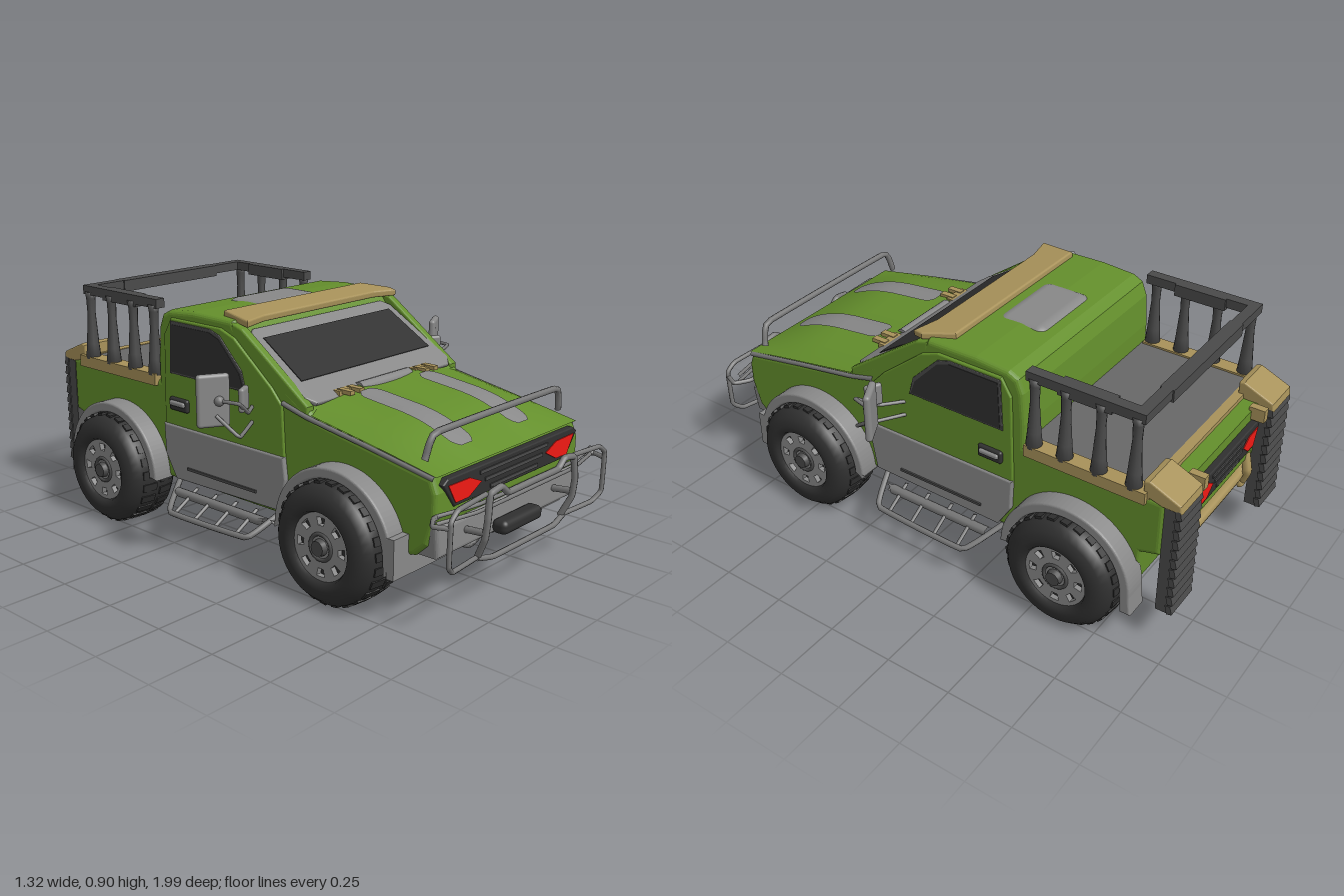
import * as THREE from 'three';
import { RoundedBoxGeometry } from 'three/addons/geometries/RoundedBoxGeometry.js';

const paint = (color, side = THREE.FrontSide) => new THREE.MeshStandardMaterial({ color, side });
const GREEN = paint(0x648f2c), GREY = paint(0x888888), STEEL = paint(0x777777), DARK = paint(0x4a4a4a);
const BLACK = paint(0x303030), TAN = paint(0xa8925a), RED = paint(0xf01a14), FLOOR = paint(0x686868);
const V = (p) => new THREE.Vector3(...p);
const V2 = (p) => new THREE.Vector2(...p);
const poly = (pts) => new THREE.Shape(pts.map(V2));

export function createModel() {
  const root = new THREE.Group();
  const add = (name, geo, mat, pos = [0, 0, 0], rot = [0, 0, 0], parent = root) => {
    const m = new THREE.Mesh(geo, mat);
    m.name = name;
    m.position.set(...pos);
    m.rotation.set(...rot);
    parent.add(m);
    return m;
  };
  const box = (name, size, mat, pos, rot, parent) => add(name, new THREE.BoxGeometry(...size), mat, pos, rot, parent);
  const round = (name, size, r, mat, pos, rot) => add(name, new RoundedBoxGeometry(...size, 4, r), mat, pos, rot);
  const tube = (name, pts, r, mat = STEEL) => {
    const curve = new THREE.CatmullRomCurve3(pts.map(V), false, 'catmullrom', 0.12);
    return add(name, new THREE.TubeGeometry(curve, pts.length * 8, r, 8), mat);
  };
  const extrude = (shape, depth, bevel = 0) => new THREE.ExtrudeGeometry(shape, {
    depth: depth - 2 * bevel, bevelEnabled: bevel > 0, bevelSize: bevel, bevelThickness: bevel,
    bevelOffset: -bevel, bevelSegments: 4, curveSegments: 24,
  }).translate(0, 0, bevel);
  // Extrudes a (z, y) outline across x from xa to xb
  const side = (name, shape, xa, xb, mat, bevel = 0) =>
    add(name, extrude(shape, Math.abs(xb - xa), bevel).rotateY(-Math.PI / 2).translate(Math.max(xa, xb), 0, 0), mat);

  // Body with wheel arches
  const hull = poly([[-0.845, 0.22], [-0.86, 0.36], [-0.93, 0.38], [-0.93, 0.595], [-0.4, 0.595], [-0.4, 0.68],
    [-0.39, 0.8], [-0.37, 0.85], [-0.33, 0.87], [-0.2, 0.88], [0, 0.877], [0.04, 0.82], [0.36, 0.62], [0.38, 0.6],
    [0.88, 0.51], [0.9, 0.46], [0.9, 0.38], [0.87, 0.28], [0.82, 0.235], [0.756, 0.22]]);
  hull.absarc(0.53, 0.22, 0.226, 0, Math.PI, false);
  hull.lineTo(-0.384, 0.22);
  hull.absarc(-0.61, 0.22, 0.226, 0, Math.PI, false);
  side('body', hull, -0.42, 0.42, GREEN, 0.018);

  // Crowned hood and its raised, round-ended stripes share one height rule
  const hoodY = (x, z) => {
    const t = Math.min(1, (0.895 - z) / 0.26), a = Math.abs(x);
    const crown = (1 - (a / 0.42) ** 4) * 0.78 + 0.22 * Math.exp(-(((a - 0.165) / 0.07) ** 2));
    return 0.602 - (z - 0.38) * 0.173 + 0.066 * Math.sin(t * Math.PI / 2) * crown * (1 - 0.25 * Math.max(0, (0.6 - z) / 0.24));
  };
  const hoodPatch = (name, cx, half, z0, z1, lift, color, rounded) => {
    const g = new THREE.PlaneGeometry(2 * half, z1 - z0, 24, 28).rotateX(-Math.PI / 2).translate(0, 0, (z0 + z1) / 2);
    const p = g.attributes.position;
    for (let i = 0; i < p.count; i++) {
      const z = p.getZ(i), e = Math.min(1, (Math.min(z - z0, z1 - z) + 0.008) / 0.05);
      const x = cx + p.getX(i) * (rounded ? Math.sqrt(1 - (1 - e) ** 2) : 1);
      p.setXYZ(i, x, hoodY(x, z) + lift, z);
    }
    g.computeVertexNormals();
    add(name, g, paint(color, THREE.DoubleSide));
  };
  hoodPatch('hood', 0, 0.412, 0.345, 0.893, 0, 0x648f2c, false);
  for (const s of [-1, 1]) hoodPatch('hoodStripe', s * 0.165, 0.053, 0.4, 0.83, 0.005, 0x888888, true);

  // Windshield: frame and glass on the sloping front of the cab
  const screen = new THREE.Group();
  screen.name = 'windshield';
  screen.position.set(0, 0.734, 0.178);
  screen.rotation.x = -1.012;
  root.add(screen);
  add('windshieldFrame', extrude(poly([[-0.37, -0.205], [0.37, -0.205], [0.4, -0.17], [0.38, 0.15], [0.35, 0.18],
    [-0.35, 0.18], [-0.38, 0.15], [-0.4, -0.17]]), 0.018, 0.006), GREY, undefined, undefined, screen);
  add('windshieldGlass', extrude(poly([[-0.355, -0.1], [0.355, -0.1], [0.345, 0.125], [-0.345, 0.125]]), 0.008), BLACK, [0, 0, 0.013], undefined, screen);
  add('visor', extrude(poly([[-0.41, -0.07], [-0.3, -0.045], [0.3, -0.045], [0.4, -0.07], [0.41, -0.03], [0.36, 0.08], [-0.38, 0.08]]), 0.026, 0.007)
    .rotateX(-Math.PI / 2), TAN, [0, 0.866, 0], [0.1, 0, 0]);
  round('roofPanel', [0.35, 0.1, 0.22], 0.05, GREY, [0, 0.836, -0.2]);
  add('wiperRoller', new THREE.CylinderGeometry(0.025, 0.025, 0.28, 16), GREY, [0, 0.64, 0.345], [0, 0, Math.PI / 2]);

  // Grille panel with lamps, used front and back
  const lampPanel = (name, pos, turn, sx) => {
    const g = new THREE.Group();
    g.name = name;
    g.position.set(...pos);
    g.rotation.y = turn;
    g.scale.x = sx;
    root.add(g);
    add('panel', extrude(poly([[-0.33, -0.05], [0.33, -0.05], [0.395, 0.035], [0.37, 0.052], [-0.37, 0.052], [-0.395, 0.035]]), 0.03, 0.006), BLACK, undefined, undefined, g);
    for (const s of [-1, 1]) add('lamp', extrude(poly([[0.19, 0], [0.255, 0.028], [0.37, 0.03], [0.33, -0.036], [0.26, -0.036]].map(([x, y]) => [s * x, y])), 0.008), RED, [0, 0, 0.025], undefined, g);
    for (const y of [-0.03, 0, 0.03]) box('grilleBar', [0.34 + y * 2, 0.012, 0.01], DARK, [0, y, 0.029], undefined, g);
  };
  lampPanel('grille', [0, 0.45, 0.878], 0, 1);
  lampPanel('tailPanel', [0, 0.5, -0.925], Math.PI, 0.62);

  // Front bumper and bars
  add('frontBumper', extrude(poly([[-0.405, 0.24], [0.405, 0.24], [0.418, 0.35], [-0.418, 0.35]]), 0.1, 0.015), GREY, [0, 0, 0.805]);
  round('winch', [0.23, 0.05, 0.06], 0.02, BLACK, [0, 0.27, 0.93]);
  tube('hoodBar', [[-0.39, 0.55, 0.83], [-0.35, 0.635, 0.84], [0.35, 0.635, 0.84], [0.39, 0.55, 0.83]], 0.012);
  for (const y of [0.385, 0.41]) tube('crossBar', [[-0.46, y, 0.93], [-0.28, y, 0.965], [0.28, y, 0.965], [0.46, y, 0.93]], 0.007);
  tube('lowerBar', [[-0.26, 0.215, 0.95], [-0.18, 0.2, 0.96], [0.18, 0.2, 0.96], [0.26, 0.215, 0.95]], 0.01);

  // Bed cover, rail and tail
  box('bedCover', [0.78, 0.02, 0.46], FLOOR, [0, 0.6, -0.63]);
  box('rearRail', [0.84, 0.035, 0.04], DARK, [0, 0.882, -0.82]);
  box('rearRailPad', [0.5, 0.045, 0.05], DARK, [0, 0.877, -0.82]);
  box('tailTrim', [0.84, 0.025, 0.035], TAN, [0, 0.6, -0.855]);
  tube('towBar', [[-0.3, 0.34, -0.89], [-0.2, 0.31, -0.91], [0.2, 0.31, -0.91], [0.3, 0.34, -0.89]], 0.024, TAN);

  // Underside
  add('gearCase', extrude(poly([[-0.135, 0.23], [-0.135, 0.1], [-0.07, 0.08], [0, 0.073], [0.07, 0.08], [0.135, 0.1], [0.135, 0.23]]), 0.31), BLACK, [0, 0, -0.12]);
  const pipe = [[0.05, -0.69], [0.055, -0.72], [0.08, -0.72], [0.08, -0.62], [0.045, -0.57], [0.045, 0.6], [0.08, 0.66], [0.08, 0.75], [0.066, 0.75], [0.064, 0.72]];
  add('drivePipe', new THREE.LatheGeometry(pipe.map(V2), 24), STEEL, [0, 0.195, 0], [Math.PI / 2, 0, 0]);
  for (const d of [-1, 1]) add('pipeEnd', new THREE.CylinderGeometry(0.066, 0.066, 0.06, 24), BLACK, [0, 0.195, d * 0.68], [Math.PI / 2, 0, 0]);

  // Wheel: tyre, tread lugs, rim with openings and hub
  const wheel = (s, z) => {
    const g = new THREE.Group();
    g.name = 'wheel';
    g.position.set(s * 0.445, 0.22, z);
    g.rotation.y = s > 0 ? Math.PI / 2 : -Math.PI / 2;
    root.add(g);
    const prof = [[0.118, -0.09], [0.125, -0.108], [0.15, -0.112], [0.185, -0.103], [0.207, -0.078], [0.215, -0.04], [0.215, 0.04], [0.207, 0.078],
      [0.185, 0.103], [0.15, 0.112], [0.125, 0.108], [0.118, 0.09], [0.118, 0], [0.118, -0.09]];
    add('tyre', new THREE.LatheGeometry(prof.map(V2), 40), BLACK, undefined, [Math.PI / 2, 0, 0], g);
    for (let i = 0; i < 26; i++) {
      for (const d of [-1, 1]) {
        const b = i / 26 * Math.PI * 2 + d * 0.06;
        box('treadLug', [0.01, 0.03, 0.06], BLACK, [Math.cos(b) * 0.212, Math.sin(b) * 0.212, d * 0.038], [0, d * -0.12, b], g);
      }
    }
    add('rimBack', new THREE.CylinderGeometry(0.118, 0.118, 0.15, 32), BLACK, [0, 0, -0.005], [Math.PI / 2, 0, 0], g);
    const disc = new THREE.Shape().absarc(0, 0, 0.119, 0, Math.PI * 2);
    for (let i = 0; i < 8; i++) {
      const a = i * Math.PI / 4, hole = new THREE.Path();
      hole.absarc(0, 0, 0.104, a - 0.17, a + 0.17, false);
      hole.absarc(0, 0, 0.076, a + 0.15, a - 0.15, true);
      disc.holes.push(hole);
    }
    add('rim', extrude(disc, 0.02), GREY, [0, 0, 0.075], undefined, g);
    add('hubRing', new THREE.TorusGeometry(0.045, 0.007, 8, 24), DARK, [0, 0, 0.095], undefined, g);
    add('hub', new THREE.CylinderGeometry(0.026, 0.032, 0.03, 16), DARK, [0, 0, 0.1], [Math.PI / 2, 0, 0], g);
  };
  // Fender flare with a longer leg on the outer end
  const fender = (s, c, d) => {
    const f = new THREE.Shape();
    const [front, back] = d > 0 ? [0.165, 0.225] : [0.225, 0.145];
    f.moveTo(c + 0.266, front);
    f.absarc(c, 0.22, 0.258, 0, Math.PI, false);
    f.lineTo(c - 0.266, back);
    f.lineTo(c - 0.225, back);
    f.absarc(c, 0.22, 0.219, Math.PI, 0, true);
    f.lineTo(c + 0.225, front);
    side('fender', f, s * 0.4, s * 0.495, GREY, 0.008);
  };

  for (const s of [-1, 1]) {
    for (const [z, d] of [[0.53, 1], [-0.61, -1]]) {
      wheel(s, z);
      fender(s, z, d);
    }
    box('fenderLiner', [0.29, 0.14, 0.03], GREY, [s * 0.35, 0.235, 0.783]);

    // Windshield pillar, door, window and handle
    side('pillar', poly([[0.36, 0.6], [0.36, 0.635], [0.15, 0.785], [0.05, 0.855], [0, 0.87], [0, 0.8]]), s * 0.385, s * 0.42, GREEN, 0.008);
    side('door', poly([[0.26, 0.43], [0.25, 0.62], [0.2, 0.675], [0.02, 0.82], [-0.05, 0.845], [-0.31, 0.845], [-0.35, 0.78], [-0.36, 0.43]]), s * 0.41, s * 0.43, GREEN, 0.006);
    side('doorSill', poly([[0.26, 0.44], [0.27, 0.36], [0.25, 0.24], [-0.3, 0.23], [-0.355, 0.32], [-0.36, 0.44]]), s * 0.41, s * 0.437, GREY, 0.007);
    box('sillTrim', [0.01, 0.01, 0.36], DARK, [s * 0.438, 0.285, -0.05]);
    side('windowFrame', poly([[0.08, 0.637], [0.06, 0.71], [-0.05, 0.82], [-0.1, 0.835], [-0.31, 0.835], [-0.32, 0.637]]), s * 0.42, s * 0.434, DARK, 0.003);
    side('sideWindow', poly([[0.07, 0.645], [0.05, 0.7], [-0.05, 0.805], [-0.1, 0.823], [-0.3, 0.823], [-0.31, 0.645]]), s * 0.42, s * 0.436, BLACK);
    round('doorHandle', [0.02, 0.05, 0.1], 0.0095, BLACK, [s * 0.434, 0.525, -0.27]);
    round('handleGrip', [0.02, 0.02, 0.08], 0.008, GREY, [s * 0.443, 0.53, -0.27]);
    tube('hoodSeam', [[s * 0.412, 0.505, 0.885], [s * 0.416, 0.555, 0.62], [s * 0.42, 0.6, 0.36], [s * 0.424, 0.63, 0.25]], 0.009);

    // Hood hinge
    box('hoodHinge', [0.1, 0.018, 0.035], TAN, [s * 0.21, 0.65, 0.345]);
    for (const x of [0.185, 0.235]) box('hingeLeaf', [0.025, 0.015, 0.06], TAN, [s * x, 0.655, 0.37]);

    // Mirrors on tube arms
    round('mirror', [0.115, 0.185, 0.026], 0.012, GREY, [s * 0.61, 0.65, 0.105], [0, s * 0.5, 0]);
    round('smallMirror', [0.065, 0.085, 0.022], 0.01, GREY, [s * 0.525, 0.65, 0.165], [0, -s * 0.5, 0]);
    add('mirrorJoint', new THREE.SphereGeometry(0.018, 12, 8), STEEL, [s * 0.6, 0.65, 0.125]);
    tube('mirrorArm', [[s * 0.42, 0.59, 0.1], [s * 0.5, 0.595, 0.16], [s * 0.58, 0.65, 0.2], [s * 0.6, 0.65, 0.12]], 0.007);
    tube('mirrorBrace', [[s * 0.42, 0.535, 0.1], [s * 0.58, 0.535, 0.2], [s * 0.61, 0.6, 0.12]], 0.007);

    // Ladder step
    tube('stepFrame', [[s * 0.41, 0.22, 0.22], [s * 0.53, 0.15, 0.17], [s * 0.54, 0.145, -0.22], [s * 0.41, 0.215, -0.31]], 0.011);
    tube('stepRail', [[s * 0.455, 0.19, 0.19], [s * 0.455, 0.19, -0.27]], 0.018);
    for (let i = 0; i < 4; i++) tube('stepRung', [[s * 0.42, 0.215, 0.12 - i * 0.105], [s * 0.535, 0.148, 0.12 - i * 0.105]], 0.007);

    // Bull bar uprights and end hoops
    tube('bullBarHoop', [[0, 0.42, 0.985], [s * 0.15, 0.42, 0.985], [s * 0.19, 0.45, 0.985], [s * 0.25, 0.44, 0.985], [s * 0.262, 0.36, 0.988], [s * 0.262, 0.29, 0.98], [s * 0.25, 0.215, 0.945]], 0.012);
    tube('bullBarEnd', [[s * 0.26, 0.44, 0.975], [s * 0.42, 0.435, 0.985], [s * 0.46, 0.405, 0.988], [s * 0.46, 0.26, 0.985], [s * 0.42, 0.225, 0.97], [s * 0.25, 0.215, 0.945]], 0.009);
    tube('bullBarWing', [[s * 0.36, 0.385, 0.89], [s * 0.43, 0.385, 0.9], [s * 0.48, 0.385, 0.935], [s * 0.46, 0.385, 0.985]], 0.009);
    tube('bullBarMount', [[s * 0.262, 0.31, 0.98], [s * 0.26, 0.3, 0.87]], 0.012);

    // Bed side plank, flared posts and top rail
    box('bedPlank', [0.06, 0.045, 0.46], TAN, [s * 0.405, 0.595, -0.635]);
    box('sideRail', [0.04, 0.035, 0.44], DARK, [s * 0.4, 0.882, -0.62]);
    box('railPad', [0.05, 0.045, 0.2], DARK, [s * 0.395, 0.877, -0.62]);
    const post = [[0, 0], [0.03, 0], [0.024, 0.06], [0.016, 0.18], [0.018, 0.24], [0.022, 0.265], [0, 0.265]];
    for (const z of [-0.43, -0.55, -0.68, -0.81])
      add('bedPost', new THREE.LatheGeometry(post.map(V2), 12), DARK, [s * 0.408, 0.61, z]);

    // Ribbed rear flap with cap, and struts
    box('rearFlap', [0.14, 0.44, 0.055], DARK, [s * 0.345, 0.37, -0.955]);
    for (let i = 0; i < 11; i++) box('flapRib', [0.15, 0.034, 0.02], DARK, [s * 0.345, 0.17 + i * 0.04, -0.978], [0.25, 0, 0]);
    side('flapCap', poly([[-0.85, 0.655], [-0.87, 0.66], [-0.985, 0.61], [-0.99, 0.58], [-0.92, 0.58], [-0.85, 0.6]]), s * 0.27, s * 0.42, TAN, 0.006);
    tube('tailStrut', [[s * 0.24, 0.4, -0.92], [s * 0.23, 0.33, -0.94], [s * 0.25, 0.25, -0.91]], 0.018, TAN);
    tube('tailStrut', [[s * 0.21, 0.37, -0.86], [s * 0.24, 0.25, -0.92]], 0.016, TAN);
    box('tailHook', [0.03, 0.05, 0.06], TAN, [s * 0.23, 0.585, -0.95]);
  }
  return root;
}
